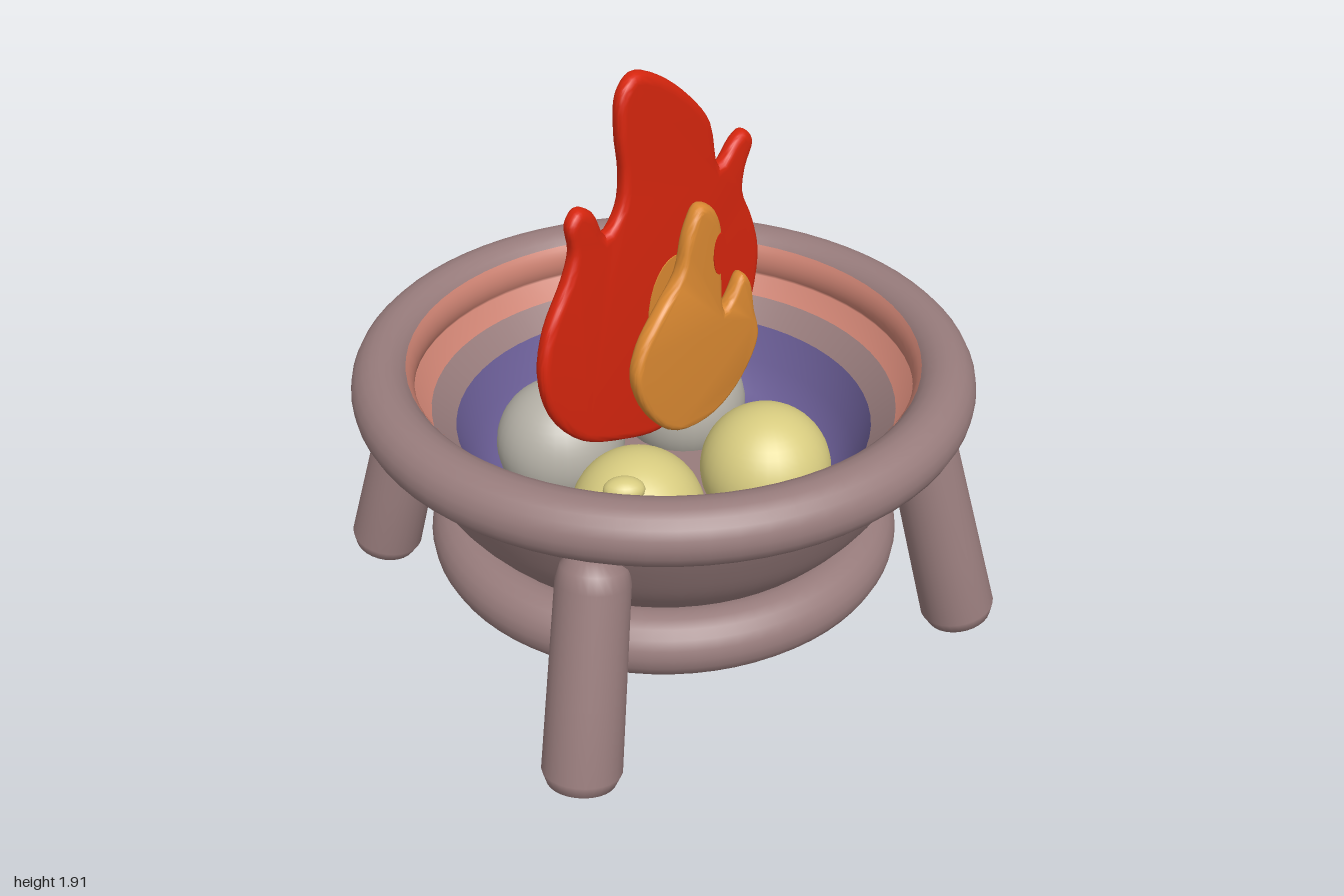
import * as THREE from 'three';
import { toCreasedNormals } from 'three/addons/utils/BufferGeometryUtils.js';

const material = (name, color, side = THREE.FrontSide) => {
  const m = new THREE.MeshStandardMaterial({ color, side });
  m.name = name;
  return m;
};
const v2 = (pts) => pts.map(([x, y]) => new THREE.Vector2(x, y));

export function createModel() {
  const clay = material('clay', 0x987c7c);
  const glow = material('glowing clay', 0xcc8272);
  const ash = material('ash', 0x6c5f98, THREE.DoubleSide);
  const red = material('red flame', 0xd8260e);
  const orange = material('orange flame', 0xdc8a32);
  const grey = material('grey stone', 0xb4b0a6);
  const yellow = material('hot stone', 0xd8cc80);

  const group = new THREE.Group();
  const add = (name, geometry, mat, x = 0, y = 0, z = 0) => {
    const mesh = new THREE.Mesh(geometry, mat);
    mesh.name = name;
    mesh.position.set(x, y, z);
    group.add(mesh);
    return mesh;
  };
  const lathe = (name, pts, mat, smooth = 0) => {
    const profile = smooth ? new THREE.SplineCurve(v2(pts)).getPoints(smooth) : v2(pts);
    return add(name, new THREE.LatheGeometry(profile, 64), mat);
  };

  // Bowl shell, rim and base ring
  lathe('bowlOutside', [[0, 0.205], [0.3, 0.235], [0.5, 0.3], [0.63, 0.4], [0.745, 0.53],
    [0.83, 0.68], [0.885, 0.8]], clay, 24);
  const ring = (name, radius, tube, y) =>
    add(name, new THREE.TorusGeometry(radius, tube, 20, 72).rotateX(Math.PI / 2), clay, 0, y);
  ring('rim', 0.897, 0.098, 0.884);
  ring('baseRing', 0.672, 0.106, 0.315);

  // Bowl lining: glowing lip, bare band, ash, bare patch beneath the stones
  const lip = [];
  for (let i = 0; i <= 8; i++) {
    const a = THREE.MathUtils.degToRad(140 + i * 9);
    lip.push([0.897 + 0.1 * Math.cos(a), 0.884 + 0.1 * Math.sin(a)]);
  }
  lathe('glowingLip', [...lip, [0.75, 0.78]], glow);
  lathe('innerBand', [[0.75, 0.78], [0.675, 0.71]], clay);
  lathe('ashBed', [[0.675, 0.71], [0.63, 0.59], [0.57, 0.49], [0.5, 0.45], [0, 0.45]], ash);
  const patch = [];
  for (let i = 0; i < 72; i++) {
    const a = (i / 72) * Math.PI * 2, c = Math.cos(a), s = Math.sin(a);
    const r = 0.465 / Math.pow(c ** 6 + s ** 6, 1 / 6) + 0.012 * Math.sin(a * 9);
    patch.push([Math.min(r, 0.57) * c, Math.min(r, 0.57) * s]);
  }
  add('floorPatch', new THREE.ShapeGeometry(new THREE.Shape(v2(patch))).rotateX(-Math.PI / 2),
    clay, 0, 0.458);

  // Four splayed legs with rounded ends
  const legProfile = v2([[0, 0], [0.07, 0.004], [0.105, 0.02], [0.122, 0.06], [0.118, 0.3],
    [0.112, 0.66], [0.1, 0.71], [0.07, 0.745], [0, 0.76]]);
  const up = new THREE.Vector3(0, 1, 0);
  for (const sx of [1, -1]) for (const sz of [1, -1]) {
    const leg = add('leg', new THREE.LatheGeometry(legProfile, 28), clay, sx * 0.735, 0.02, sz * 0.705);
    const axis = new THREE.Vector3(-sx * 0.135, 0.7, -sz * 0.125).normalize();
    leg.quaternion.setFromUnitVectors(up, axis);
  }

  // Stones: pale ones behind, hot ones in front
  for (const x of [-0.25, 0.24]) for (const z of [-0.25, 0.245])
    add('stone', new THREE.SphereGeometry(0.215, 32, 24), z < 0 ? grey : yellow, x, 0.55, z);
  const nub = (name, mat, x, z, turn) => {
    const mesh = add(name, new THREE.SphereGeometry(0.05, 20, 14), mat, x, 0.725, z);
    mesh.scale.set(1.3, 0.8, 0.95);
    mesh.rotation.y = turn;
  };
  nub('hotStoneNub', yellow, -0.35, 0.33, -0.5);
  nub('greyStoneNub', grey, 0.355, -0.31, -0.9);
  const spot = add('hotSpot', new THREE.SphereGeometry(0.218, 20, 5, 0, Math.PI * 2, 0, 0.27),
    yellow, 0.24, 0.55, -0.25);
  spot.quaternion.setFromUnitVectors(up, new THREE.Vector3(0.02, 0.2, 0.055).normalize());

  // Flames: bevelled outlines sheared so that each stands slantwise in the bowl
  const slant = (g, z0) => {
    const p = g.attributes.position;
    for (let i = 0; i < p.count; i++) p.setZ(i, p.getZ(i) + z0 - 0.33 * p.getX(i));
    g.computeVertexNormals();
    return g;
  };
  const flame = (name, pts, mat, z0, bevel) => {
    const outline = new THREE.CatmullRomCurve3(pts.map(([x, y]) => new THREE.Vector3(x, y, 0)), true)
      .getPoints(pts.length * 4).slice(0, -1);
    const g = new THREE.ExtrudeGeometry(new THREE.Shape(v2(outline.map((p) => [p.x, p.y]))), {
      depth: 0.012, bevelEnabled: true, bevelSize: bevel, bevelThickness: 0.027,
      bevelOffset: -bevel, bevelSegments: 5,
    });
    g.translate(0, 0, -0.006);
    add(name, toCreasedNormals(slant(g, z0), 0.7), mat);
  };
  flame('redFlame', [[-0.54, 1.1], [-0.51, 1.24], [-0.43, 1.37], [-0.4, 1.45], [-0.41, 1.54],
    [-0.37, 1.58], [-0.31, 1.55], [-0.26, 1.46], [-0.2, 1.52], [-0.185, 1.62], [-0.2, 1.75],
    [-0.19, 1.87], [-0.13, 1.92], [-0.02, 1.88], [0.12, 1.77], [0.21, 1.66], [0.255, 1.5],
    [0.33, 1.56], [0.38, 1.575], [0.42, 1.53], [0.385, 1.45], [0.375, 1.37], [0.43, 1.25],
    [0.465, 1.12], [0.44, 0.96], [0.36, 0.8], [0.22, 0.66], [0.1, 0.68], [-0.03, 0.66],
    [-0.2, 0.71], [-0.38, 0.8], [-0.5, 0.94]].reverse(), red, -0.01, 0.03);
  flame('orangeFlame', [[-0.25, 1.02], [-0.22, 1.12], [-0.14, 1.21], [-0.05, 1.3], [-0.015, 1.42],
    [0.04, 1.495], [0.1, 1.47], [0.14, 1.39], [0.145, 1.25], [0.165, 1.09], [0.2, 1.12],
    [0.25, 1.18], [0.29, 1.14], [0.315, 1.03], [0.34, 0.92], [0.26, 0.8], [0.12, 0.73],
    [-0.06, 0.75], [-0.19, 0.87]].reverse(), orange, 0.135, 0.022);

  // Licks of colour on the flame faces
  const lick = (name, mat, x, y, rx, ry, z0) => {
    const g = new THREE.CylinderGeometry(1, 1, 0.006, 28).rotateX(Math.PI / 2);
    g.scale(rx, ry, 1).translate(x, y, 0);
    add(name, slant(g, z0), mat);
  };
  lick('redLick', red, 0.125, 1.31, 0.03, 0.07, 0.168);
  lick('orangeLick', orange, 0.03, 1.1, 0.12, 0.18, 0.024);

  return group;
}
